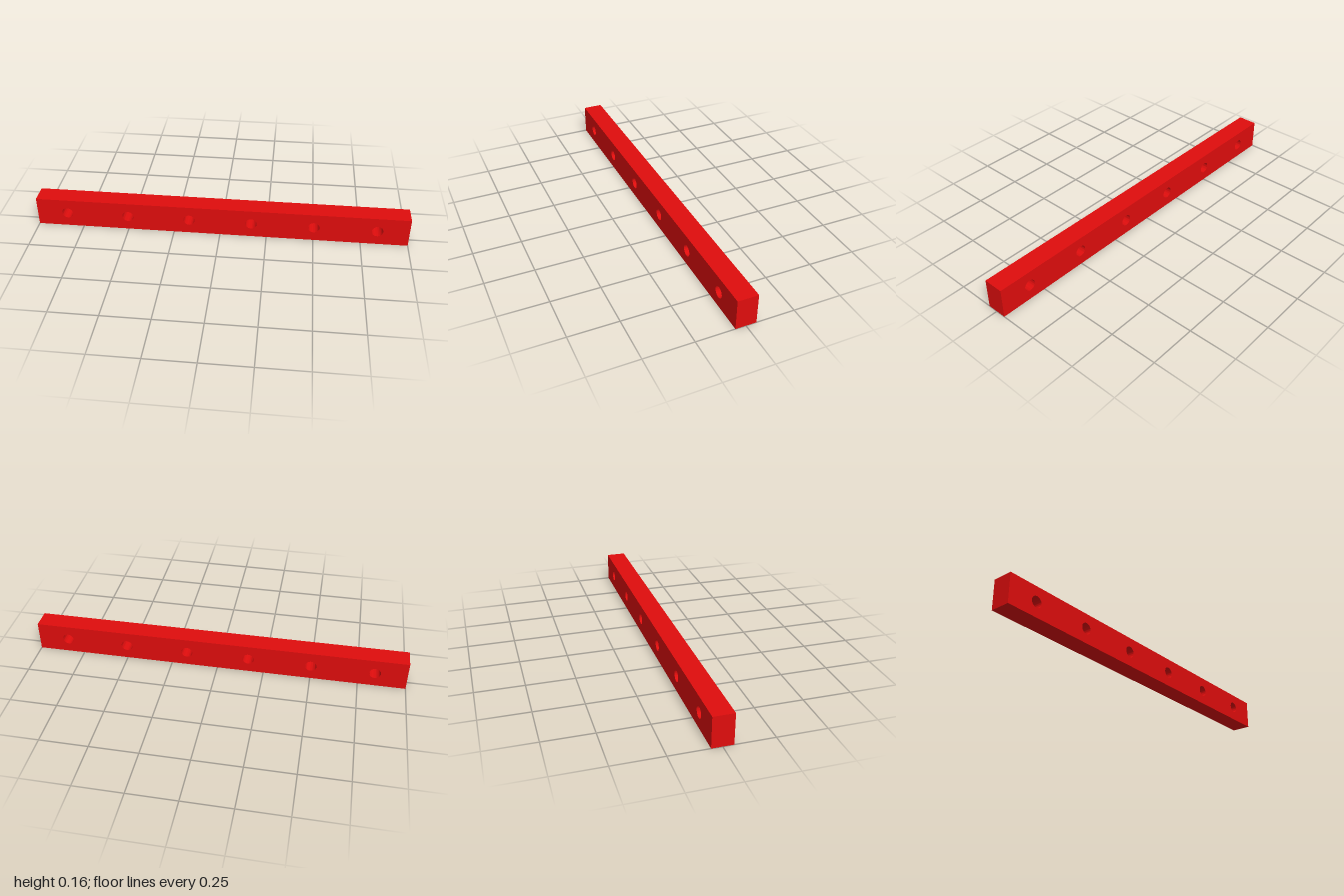
import * as THREE from 'three';
import { toCreasedNormals } from 'three/addons/utils/BufferGeometryUtils.js';

const LENGTH = 2, HEIGHT = 0.16, DEPTH = 0.106;
const HOLES = 6, HOLE_RADIUS = 0.03;

export function createModel() {
  const group = new THREE.Group();
  group.name = 'drilledBar';

  // Front outline of the bar
  const outline = new THREE.Shape([
    new THREE.Vector2(-LENGTH / 2, 0),
    new THREE.Vector2(LENGTH / 2, 0),
    new THREE.Vector2(LENGTH / 2, HEIGHT),
    new THREE.Vector2(-LENGTH / 2, HEIGHT),
  ]);

  // Evenly spaced through holes, half a pitch from each end
  const pitch = LENGTH / HOLES;
  for (let i = 0; i < HOLES; i++) {
    const x = -LENGTH / 2 + (i + 0.5) * pitch;
    outline.holes.push(new THREE.Path().absarc(x, HEIGHT / 2, HOLE_RADIUS, 0, Math.PI * 2, true));
  }

  // Extrude through the depth; smooth bores, sharp edges
  const geometry = new THREE.ExtrudeGeometry(outline, { depth: DEPTH, bevelEnabled: false, curveSegments: 32 });
  geometry.translate(0, 0, -DEPTH / 2);

  const bar = new THREE.Mesh(
    toCreasedNormals(geometry, Math.PI / 6),
    new THREE.MeshStandardMaterial({ color: 0xe00d0d })
  );
  bar.name = 'bar';
  group.add(bar);
  return group;
}
